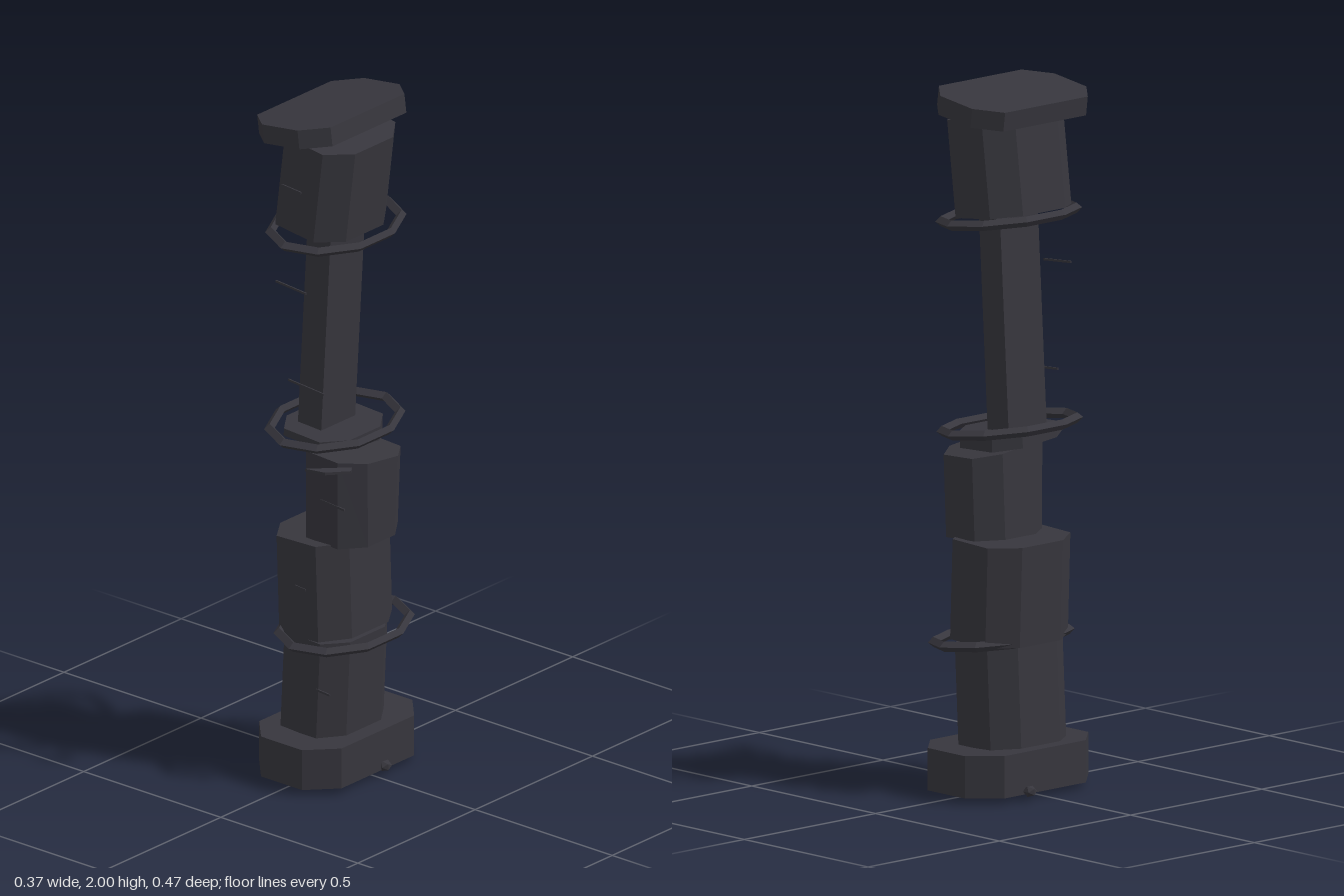
import * as THREE from 'three';

const stone = new THREE.MeshStandardMaterial({ color: 0x37363d, flatShading: true });
stone.name = 'darkStone';

// Upright prism with cut corners, centred on its own origin
function cutPrism(w, h, d, cx, cz) {
  const x = w / 2, z = d / 2;
  const outline = [
    [x, -z + cz], [x, z - cz], [x - cx, z], [-x + cx, z],
    [-x, z - cz], [-x, -z + cz], [-x + cx, -z], [x - cx, -z],
  ].map(([a, b]) => new THREE.Vector2(a, b));
  const geo = new THREE.ExtrudeGeometry(new THREE.Shape(outline), { depth: h, bevelEnabled: false });
  return geo.rotateX(-Math.PI / 2).translate(0, -h / 2, 0);
}

// Move every vertex by a rule
function reshape(geo, rule) {
  const p = geo.attributes.position, v = new THREE.Vector3();
  for (let i = 0; i < p.count; i++) {
    v.fromBufferAttribute(p, i);
    rule(v);
    p.setXYZ(i, v.x, v.y, v.z);
  }
  geo.computeVertexNormals();
  return geo;
}

export function createModel() {
  const pillar = new THREE.Group();
  pillar.name = 'brokenPillar';

  function add(name, geo, x, y, z, tilt = 0, turn = 0) {
    const mesh = new THREE.Mesh(geo, stone);
    mesh.name = name;
    mesh.position.set(x, y, z);
    mesh.rotation.set(0, turn, tilt);
    pillar.add(mesh);
    return mesh;
  }

  // Base and capital slabs
  add('base', cutPrism(0.30, 0.12, 0.47, 0.075, 0.08), -0.005, 0.08, 0);
  add('capital', cutPrism(0.27, 0.055, 0.435, 0.07, 0.06), -0.023, 1.955, 0, 0.13);

  // Shifted drums of the shaft
  add('lowerDrum', cutPrism(0.23, 0.29, 0.288, 0.05, 0.07), -0.013, 0.285, 0.002, -0.05);
  add('middleDrum', cutPrism(0.252, 0.285, 0.315, 0.055, 0.08), -0.012, 0.578, 0.002, 0.035);
  const broken = reshape(cutPrism(0.215, 0.25, 0.27, 0.05, 0.07), (v) => {
    if (v.y > 0) v.y += 0.13 * v.z;
    else if (v.z > 0) v.z -= 0.014;
  });
  add('brokenDrum', broken, 0.052, 0.845, 0.002, -0.045);
  add('upperDrum', cutPrism(0.25, 0.275, 0.31, 0.055, 0.075), -0.01, 1.78, 0, -0.125);

  // Wedge above the break
  const wedge = reshape(cutPrism(0.23, 0.035, 0.27, 0.05, 0.07), (v) => {
    if (v.y < 0) v.y += 0.1 * v.z;
  });
  add('breakWedge', wedge, -0.018, 1.014, 0, -0.05);

  // Exposed core
  add('core', new THREE.BoxGeometry(0.085, 0.61, 0.145), -0.025, 1.325, 0, -0.058);

  // Loose oval bands
  for (const [name, x, y, tilt] of [
    ['lowerRing', 0.022, 0.432, -0.07],
    ['middleRing', -0.012, 1.036, -0.08],
    ['upperRing', -0.008, 1.63, -0.08],
  ]) {
    const geo = new THREE.TorusGeometry(0.22, 0.018, 4, 10);
    geo.rotateZ(Math.PI / 10).rotateX(Math.PI / 2).scale(0.68, 0.8, 0.99);
    add(name, geo, x, y, 0, tilt);
  }

  // Hairline splinters floating in front of the shaft
  for (const [x, y, z, len] of [
    [-0.035, 1.48, 0.16, 0.11], [-0.005, 1.178, 0.13, 0.13],
    [-0.035, 1.775, 0.157, 0.07], [0.09, 0.85, 0.13, 0.09],
    [0.0, 0.585, 0.16, 0.04], [0.07, 0.285, 0.146, 0.05],
  ]) add('splinter', new THREE.BoxGeometry(len, 0.006, 0.004), x, y, z, -0.08);

  // Flat chip knocked off the break
  const chip = new THREE.Shape([
    [0.08, -0.235], [0.14, -0.22], [0.188, -0.165], [0.172, -0.142],
  ].map(([a, b]) => new THREE.Vector2(a, b)));
  const chipGeo = new THREE.ExtrudeGeometry(chip, { depth: 0.008, bevelEnabled: false });
  add('chip', chipGeo.rotateX(-Math.PI / 2), 0, 0.982, 0);

  // Pebbles under the base
  for (const [x, y, z, r] of [
    [-0.168, 0.03, -0.07, 0.02], [-0.09, 0.02, -0.05, 0.022], [0.012, 0.02, 0.05, 0.02],
    [0.1, 0.022, -0.06, 0.02], [0.145, 0.03, -0.03, 0.02],
  ]) {
    const geo = new THREE.IcosahedronGeometry(r, 0);
    add('pebble', geo.scale(1, 0.85, 1), x, y, z, 0, x * 9);
  }

  return pillar;
}
